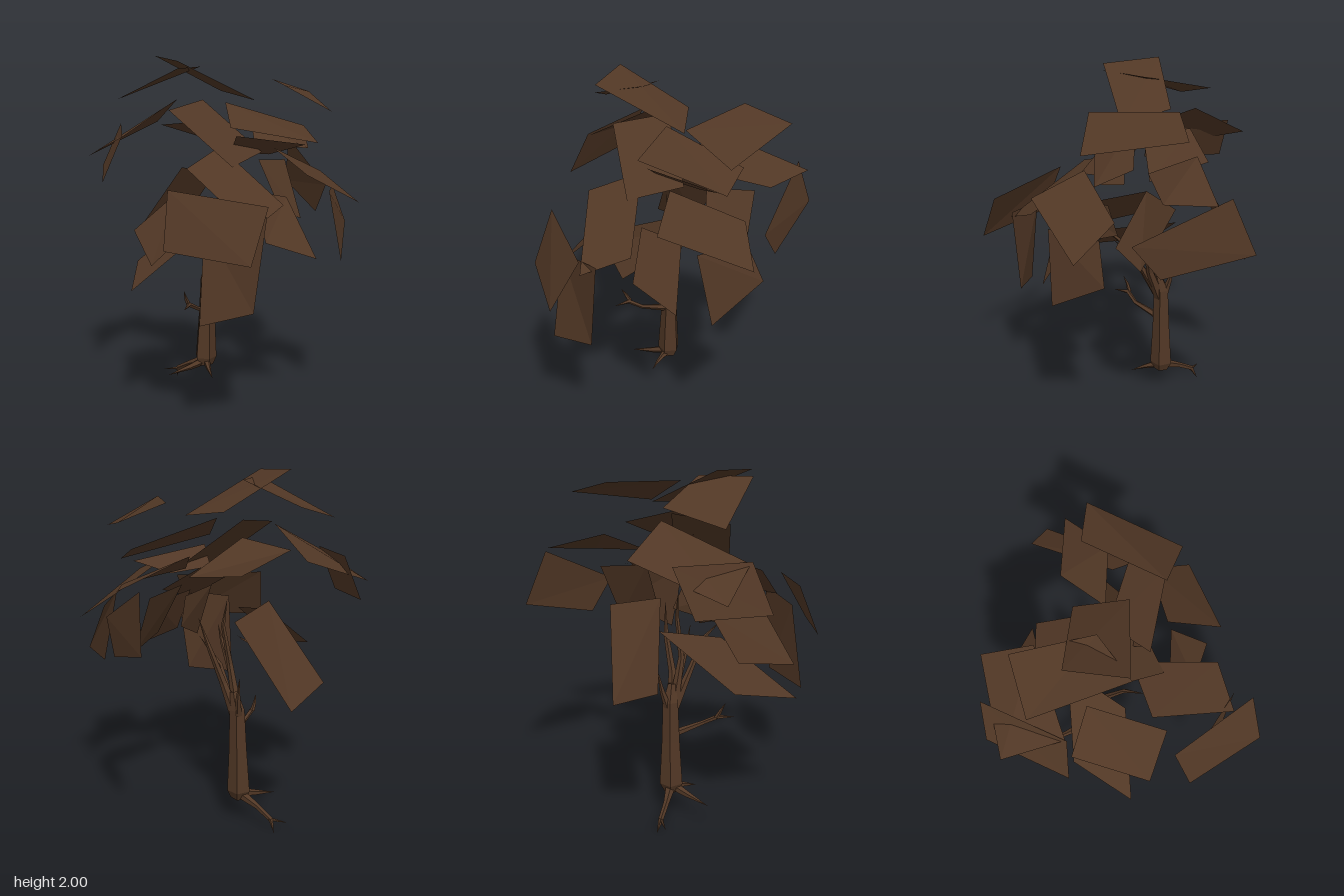
import * as THREE from 'three';

const brown = new THREE.MeshStandardMaterial({ color: 0x513725, flatShading: true, side: THREE.DoubleSide });
brown.name = 'brown';

// A leaf card from four corners, creased along one diagonal
function card(corners) {
  const [a, b, c, d] = corners;
  const g = new THREE.BufferGeometry();
  g.setAttribute('position', new THREE.Float32BufferAttribute([a, b, c, a, c, d].flat(), 3));
  g.computeVertexNormals();
  return g;
}

// A tapered limb through stations [x, y, z, radius]
function limb(stations, sides = 5) {
  const pts = stations.map(s => new THREE.Vector3(s[0], s[1], s[2]));
  const pos = [], idx = [];
  pts.forEach((p, i) => {
    const dir = pts[Math.min(i + 1, pts.length - 1)].clone().sub(pts[Math.max(i - 1, 0)]).normalize();
    const ref = Math.abs(dir.y) > 0.7 ? new THREE.Vector3(1, 0, 0) : new THREE.Vector3(0, 1, 0);
    const u = ref.clone().cross(dir).normalize();
    const v = dir.clone().cross(u);
    for (let k = 0; k < sides; k++) {
      const t = k / sides * Math.PI * 2;
      const q = p.clone().addScaledVector(u, Math.cos(t) * stations[i][3]).addScaledVector(v, Math.sin(t) * stations[i][3]);
      pos.push(q.x, q.y, q.z);
      if (i === 0) continue;
      const a = (i - 1) * sides + k, b = (i - 1) * sides + (k + 1) % sides;
      idx.push(a, b, b + sides, a, b + sides, a + sides);
    }
  });
  let g = new THREE.BufferGeometry();
  g.setAttribute('position', new THREE.Float32BufferAttribute(pos, 3));
  g.setIndex(idx);
  g = g.toNonIndexed();
  g.computeVertexNormals();
  return g;
}

const wood = {
  trunk: [[[-0.07, 0.14, -0.28, 0.045], [-0.07, 0.19, -0.285, 0.068], [-0.065, 0.45, -0.28, 0.053], [-0.06, 0.68, -0.275, 0.045], [-0.05, 0.78, -0.25, 0.022]]],
  branch: [
    [[-0.06, 0.62, -0.27, 0.035], [-0.01, 0.82, -0.2, 0.022], [0.06, 1.02, -0.17, 0.015], [0.11, 1.2, -0.12, 0]],
    [[-0.07, 0.66, -0.26, 0.03], [-0.06, 0.92, -0.18, 0.018], [-0.02, 1.15, -0.17, 0.012], [-0.04, 1.3, -0.18, 0]],
    [[-0.07, 0.64, -0.26, 0.03], [-0.09, 0.84, -0.14, 0.018], [-0.09, 1.0, -0.02, 0.012], [-0.12, 1.08, 0.1, 0]],
    [[-0.05, 0.66, -0.25, 0.025], [-0.03, 0.9, -0.12, 0.014], [0.04, 1.05, 0.02, 0]],
    [[-0.06, 0.64, -0.29, 0.025], [-0.04, 0.75, -0.32, 0.015], [-0.03, 0.9, -0.355, 0]],
    [[-0.08, 0.49, -0.26, 0.022], [-0.18, 0.54, -0.13, 0.013], [-0.25, 0.58, -0.09, 0.014], [-0.31, 0.57, -0.01, 0]],
    [[-0.25, 0.58, -0.1, 0.014], [-0.27, 0.62, -0.09, 0.01], [-0.29, 0.67, -0.065, 0]]
  ],
  root: [
    [[-0.07, 0.17, -0.28, 0.028], [-0.18, 0.14, -0.27, 0.018], [-0.32, 0.11, -0.26, 0]],
    [[-0.07, 0.17, -0.27, 0.025], [-0.09, 0.14, -0.18, 0.012], [-0.1, 0.11, -0.1, 0]],
    [[-0.07, 0.17, -0.29, 0.03], [-0.13, 0.12, -0.4, 0.017], [-0.17, 0.07, -0.49, 0.015], [-0.17, 0, -0.525, 0]],
    [[-0.16, 0.07, -0.48, 0.012], [-0.25, 0.055, -0.54, 0]]
  ]
};

// Leaf cards by region of the crown
const leaves = {
  topLeaf: [
    [[-0.56, 1.75, -0.43], [-0.36, 1.93, 0.06], [-0.15, 1.94, -0.14], [-0.27, 1.84, -0.56]],
    [[-0.375, 2, -0.27], [0.04, 1.8, -0.295], [0.14, 1.75, -0.02], [-0.36, 1.97, 0.05]],
    [[0.225, 1.84, 0.155], [0.37, 1.87, -0.3], [0.64, 1.79, -0.315], [0.505, 1.69, 0.21]]
  ],
  middleLeaf: [
    [[-0.35, 1.7, -0.12], [-0.08, 1.75, -0.28], [0.16, 1.46, 0.02], [-0.1, 1.4, 0.195]],
    [[-0.01, 1.74, -0.11], [0.47, 1.6, -0.06], [0.46, 1.51, 0.14], [-0.075, 1.608, 0.115]],
    [[-0.03, 1.56, 0.09], [0.4, 1.5, 0.1], [0.23, 1.44, -0.03], [0, 1.46, -0.05]],
    [[-0.28, 1.6, -0.45], [0.05, 1.5, -0.51], [0.19, 1.44, -0.17], [-0.14, 1.63, -0.16]]
  ],
  frontLeaf: [
    [[-0.515, 1.31, 0.305], [-0.12, 1.25, 0.69], [-0.255, 0.97, 0.775], [-0.58, 1.01, 0.41]],
    [[-0.37, 1.14, 0.45], [-0.08, 1.18, 0.59], [-0.14, 0.67, 0.56], [-0.42, 0.62, 0.5]],
    [[-0.355, 1.4, 0.165], [-0.1, 1.5, 0.02], [0.07, 1.22, 0.48], [-0.17, 1.12, 0.605]],
    [[0.23, 1.22, 0.2], [0.305, 0.9, 0.42], [0.02, 1, 0.37], [0, 1.27, 0.22]],
    [[-0.2, 1.25, 0.35], [0.11, 1.28, 0.05], [0.16, 1.12, 0], [-0.08, 0.97, 0.3]]
  ],
  leftLeaf: [
    [[0.215, 1.37, 0.47], [0.15, 1.5, 0.18], [0.53, 1.34, 0.04], [0.67, 1.17, 0.255]],
    [[0.4, 1.265, 0.38], [0.49, 0.86, 0.37], [0.67, 1.04, 0.1], [0.57, 1.26, 0.12]],
    [[0.615, 1.24, -0.04], [0.62, 1.49, -0.545], [0.665, 1.2, -0.67], [0.63, 1.06, -0.19]],
    [[0.29, 1.61, -0.41], [0.705, 1.48, -0.46], [0.58, 1.45, -0.2], [0.2, 1.49, -0.16]],
    [[0.22, 1.4, -0.15], [0.46, 1.38, -0.28], [0.48, 1.04, -0.1], [0.29, 1.1, 0.02]]
  ],
  rightLeaf: [
    [[-0.71, 1.3, -0.225], [-0.585, 1.56, -0.24], [-0.45, 1.6, -0.7], [-0.575, 1.35, -0.68]],
    [[-0.69, 1.42, -0.575], [-0.2, 1.6, -0.745], [-0.17, 1.75, -0.46], [-0.58, 1.55, -0.25]],
    [[-0.655, 0.74, 0.095], [-0.5, 0.83, -0.26], [-0.045, 1.11, -0.35], [-0.2, 1.02, 0]],
    [[-0.57, 0.89, 0.19], [-0.33, 1.12, 0.25], [-0.28, 1.22, -0.2], [-0.52, 1.01, -0.26]]
  ],
  backLeaf: [
    [[-0.11, 0.83, -0.78], [0.11, 1.28, -0.56], [-0.15, 1.34, -0.45], [-0.35, 0.93, -0.7]]
  ]
};

export function createModel() {
  const tree = new THREE.Group();
  tree.name = 'tree';
  const addParts = (sets, build) => {
    for (const [name, list] of Object.entries(sets)) {
      const group = new THREE.Group();
      group.name = name + 'Group';
      list.forEach((data, i) => {
        const mesh = new THREE.Mesh(build(data), brown);
        mesh.name = list.length > 1 ? name + (i + 1) : name;
        group.add(mesh);
      });
      tree.add(group);
    }
  };
  addParts(wood, s => limb(s));
  addParts(leaves, card);
  return tree;
}
